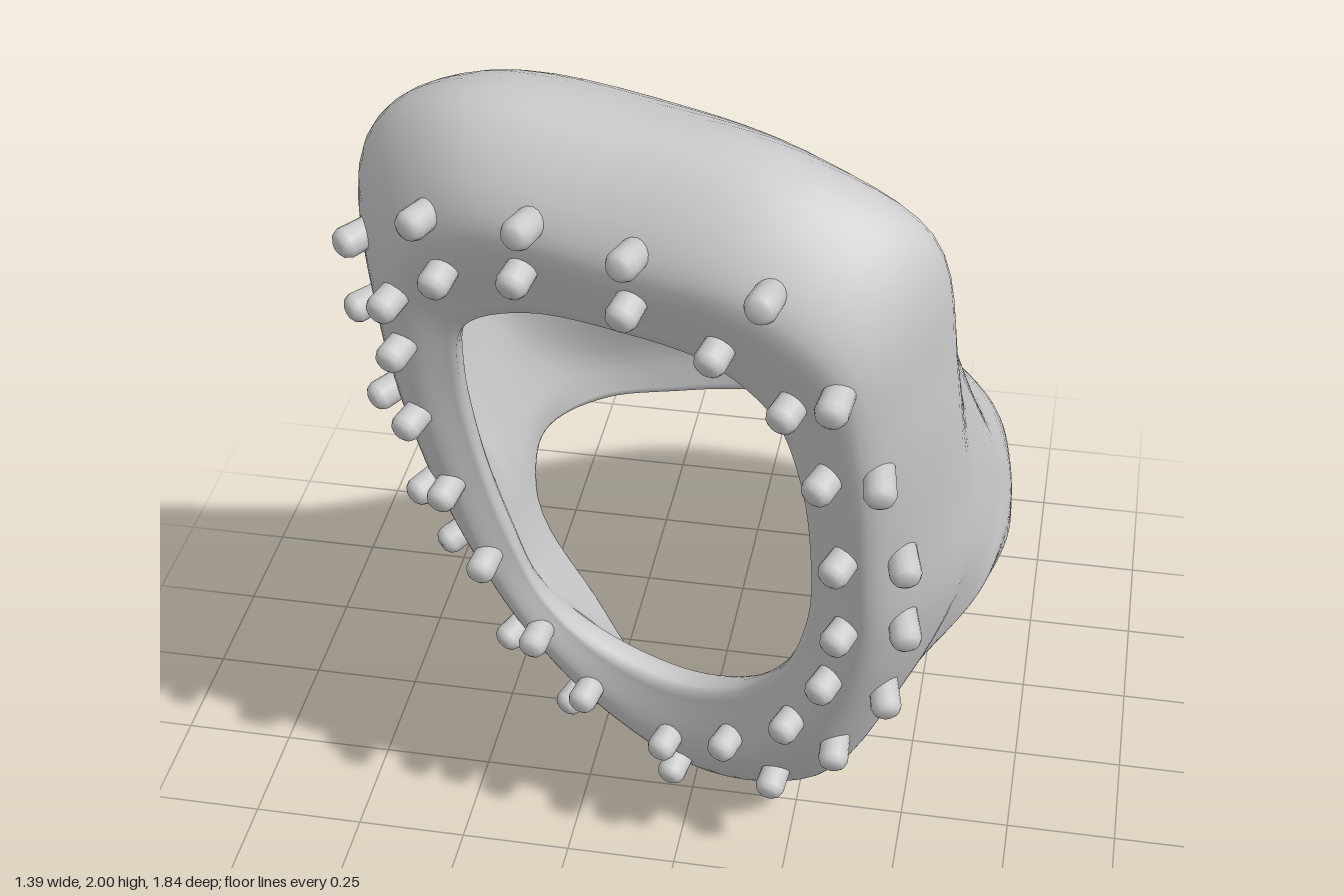
import * as THREE from 'three';

// Each loop has 16 stations, clockwise from the top as seen from the front.
const faceZ = (x, y) => 0.75 + 0.29 * x + 0.28 * (y - 1.6) - 0.03 * (x + 0.3) * (y - 1.6);
const onFace = (pts, dz) => pts.map(([x, y]) => [x, y, faceZ(x, y) + dz]);

// window edge
const windowEdge = onFace([
  [-.06, 1.585], [.12, 1.565], [.24, 1.47], [.295, 1.3], [.315, 1.05], [.305, .85], [.245, .64], [.13, .48],
  [-.03, .41], [-.2, .45], [-.32, .57], [-.39, .78], [-.435, 1.05], [-.445, 1.3], [-.41, 1.47], [-.26, 1.565]], -0.06);
// middle of the front frame
const frame = onFace([
  [-.06, 1.8], [.2, 1.79], [.38, 1.67], [.43, 1.43], [.44, 1.1], [.44, .87], [.38, .62], [.22, .34],
  [-.03, .21], [-.2, .3], [-.35, .47], [-.46, .71], [-.52, 1.0], [-.56, 1.35], [-.53, 1.65], [-.36, 1.8]], -0.02);
// outer shoulder of the frame
const shoulder = [
  [-.06, 1.985, .62], [.27, 1.975, .66], [.52, 1.84, .65], [.57, 1.52, .63], [.58, 1.15, .58], [.58, .88, .52],
  [.49, .57, .46], [.305, .19, .36], [.03, .06, .25], [-.2, .17, .21], [-.38, .4, .22], [-.5, .67, .25],
  [-.59, .95, .29], [-.65, 1.4, .35], [-.63, 1.79, .4], [-.43, 1.965, .51]];
// rear shoulder, where the back begins
const rearShoulder = [
  [0, 1.9, .33], [.27, 1.86, .42], [.48, 1.68, .43], [.575, 1.35, .37], [.62, 1.05, .34], [.62, .83, .35],
  [.5, .54, .39], [.31, .165, .31], [.05, .03, .22], [-.19, .14, .15], [-.36, .37, .13], [-.5, .65, .14],
  [-.57, .9, .1], [-.625, 1.38, .09], [-.59, 1.74, .17], [-.36, 1.89, .24]];
// middle of the back
const back = [
  [.08, 1.2, -.17], [.32, 1.17, -.1], [.52, 1.08, -.05], [.63, .95, 0], [.66, .81, .1], [.64, .72, .24],
  [.5, .52, .355], [.305, .158, .285], [.05, .015, .2], [-.18, .13, .12], [-.35, .36, .09], [-.49, .63, .09],
  [-.53, .82, 0], [-.5, 1.03, -.13], [-.36, 1.17, -.18], [-.14, 1.21, -.2]];
// upper side of the tail
const tail = [
  [.22, .67, -.81], [.42, .65, -.76], [.6, .63, -.57], [.67, .67, -.28], [.68, .7, .02], [.64, .66, .21],
  [.5, .51, .33], [.3, .152, .265], [.05, .008, .185], [-.175, .12, .1], [-.34, .35, .06], [-.48, .615, .04],
  [-.5, .77, -.07], [-.43, .82, -.29], [-.24, .75, -.54], [-.02, .69, -.73]];
// lower rim
const rim = [
  [.23, .42, -.92], [.42, .405, -.88], [.6, .405, -.71], [.67, .49, -.4], [.68, .6, -.04], [.62, .605, .18],
  [.5, .5, .31], [.3, .148, .245], [.05, 0, .17], [-.17, .115, .08], [-.33, .34, .03], [-.47, .61, 0],
  [-.49, .73, -.12], [-.39, .68, -.39], [-.2, .56, -.66], [0, .46, -.85]];

const U = 96, V = 48, THICK = 0.07;

// Outer skin: splines around each loop, then splines across the loops
function outerSkin() {
  const loops = [windowEdge, frame, shoulder, rearShoulder, back, tail, rim].map(l =>
    new THREE.CatmullRomCurve3(l.map(p => new THREE.Vector3(...p)), true));
  const P = [];
  for (let j = 0; j <= V; j++) P.push([]);
  for (let i = 0; i < U; i++) {
    const across = new THREE.CatmullRomCurve3(loops.map(c => c.getPoint(i / U)));
    for (let j = 0; j <= V; j++) P[j].push(across.getPoint(j / V));
  }
  // normals from wide differences, so the offset stays smooth
  const N = P.map((row, j) => row.map((_, i) => {
    const du = row[(i + 2) % U].clone().sub(row[(i + U - 2) % U]);
    const dv = P[Math.min(V, j + 3)][i].clone().sub(P[Math.max(0, j - 3)][i]);
    return du.cross(dv).normalize();
  }));
  return { P, N };
}

// Thick shell: outer skin, rolled rim, inner skin, rolled window edge
function shellGeometry({ P, N }) {
  const offset = (j, d) => P[j].map((p, i) => p.clone().addScaledVector(N[j][i], -d));
  const roll = (j, k, depth, out) => offset(j, depth).map((p, i) =>
    p.addScaledVector(P[j][i].clone().sub(P[k][i]).normalize(), out));
  const rows = [...P];
  for (const f of [0.2, 0.5, 0.8]) rows.push(roll(V, V - 3, THICK * f, f === 0.5 ? 0.016 : 0.01));
  // the inside runs straight from rim to window around the chin
  const first = offset(0, THICK), last = offset(V, THICK);
  for (let j = V; j >= 0; j--) rows.push(offset(j, THICK).map((p, i) => {
    const solid = 1 - THREE.MathUtils.smoothstep(Math.abs(i / U * 16 - 8.5), 2.5, 4.5);
    return p.lerp(first[i].clone().lerp(last[i], j / V), solid);
  }));
  for (const f of [0.8, 0.5, 0.2]) rows.push(roll(0, 3, THICK * f, f === 0.5 ? 0.01 : 0.006));

  const pos = [], index = [], R = rows.length;
  rows.forEach((row, j) => row.forEach((p, i) => {
    pos.push(p.x, Math.max(p.y, 0), p.z);
    const i2 = (i + 1) % U, j2 = (j + 1) % R;
    const a = j * U + i, b = j * U + i2, c = j2 * U + i2, d = j2 * U + i;
    index.push(a, b, c, a, c, d);
  }));
  const g = new THREE.BufferGeometry();
  g.setAttribute('position', new THREE.Float32BufferAttribute(pos, 3));
  g.setIndex(index);
  g.computeVertexNormals();
  return g;
}

// Peg centres on the frame, as seen from the front
const pegSpots = [
  [-.25, 1.84], [-.02, 1.84], [.23, 1.8], [-.47, 1.79], [-.63, 1.64], [-.43, 1.66], [-.25, 1.71], [-.03, 1.71],
  [.14, 1.66], [.39, 1.61], [.28, 1.55], [-.54, 1.54], [-.66, 1.4], [-.57, 1.38], [.35, 1.35], [.47, 1.38],
  [-.63, 1.16], [-.55, 1.15], [.38, 1.12], [.49, 1.14], [-.58, .93], [-.5, .93], [.38, .9], [.51, .91],
  [-.52, .7], [-.43, .71], [.34, .69], [.48, .66], [-.41, .47], [-.35, .5], [.26, .49], [.38, .44],
  [-.23, .33], [-.26, .26], [.12, .33], [-.05, .26], [.21, .24], [-.03, .15]];

export function createModel() {
  const model = new THREE.Group();
  const material = new THREE.MeshStandardMaterial({ color: 0xcccccc, side: THREE.DoubleSide });
  const skin = outerSkin();

  const shell = new THREE.Mesh(shellGeometry(skin), material);
  shell.name = 'shell';
  model.add(shell);

  // Short pegs with rounded ends, standing on the frame
  const pegs = new THREE.Group();
  pegs.name = 'pegs';
  const profile = [[0, -.05], [.031, -.05], [.033, .025], [.027, .038], [.016, .045], [0, .045]];
  const pegGeometry = new THREE.LatheGeometry(profile.map(p => new THREE.Vector2(...p)), 16);
  const up = new THREE.Vector3(0, 1, 0);
  for (const [x, y] of pegSpots) {
    let best = Infinity, centre, normal;
    for (let j = 0; j <= V * 0.36; j++) for (let i = 0; i < U; i++) {
      const c = skin.P[j][i].clone().addScaledVector(skin.N[j][i], 0.018);
      const d = (c.x - x) ** 2 + (c.y - y) ** 2;
      if (d < best) { best = d; centre = c; normal = skin.N[j][i]; }
    }
    const peg = new THREE.Mesh(pegGeometry, material);
    peg.name = 'peg';
    peg.position.copy(centre);
    // pegs lean partly towards straight ahead
    const aim = normal.clone().multiplyScalar(0.7).add(new THREE.Vector3(-.2, -.15, .6)).normalize();
    peg.quaternion.setFromUnitVectors(up, aim);
    pegs.add(peg);
  }
  model.add(pegs);
  return model;
}
